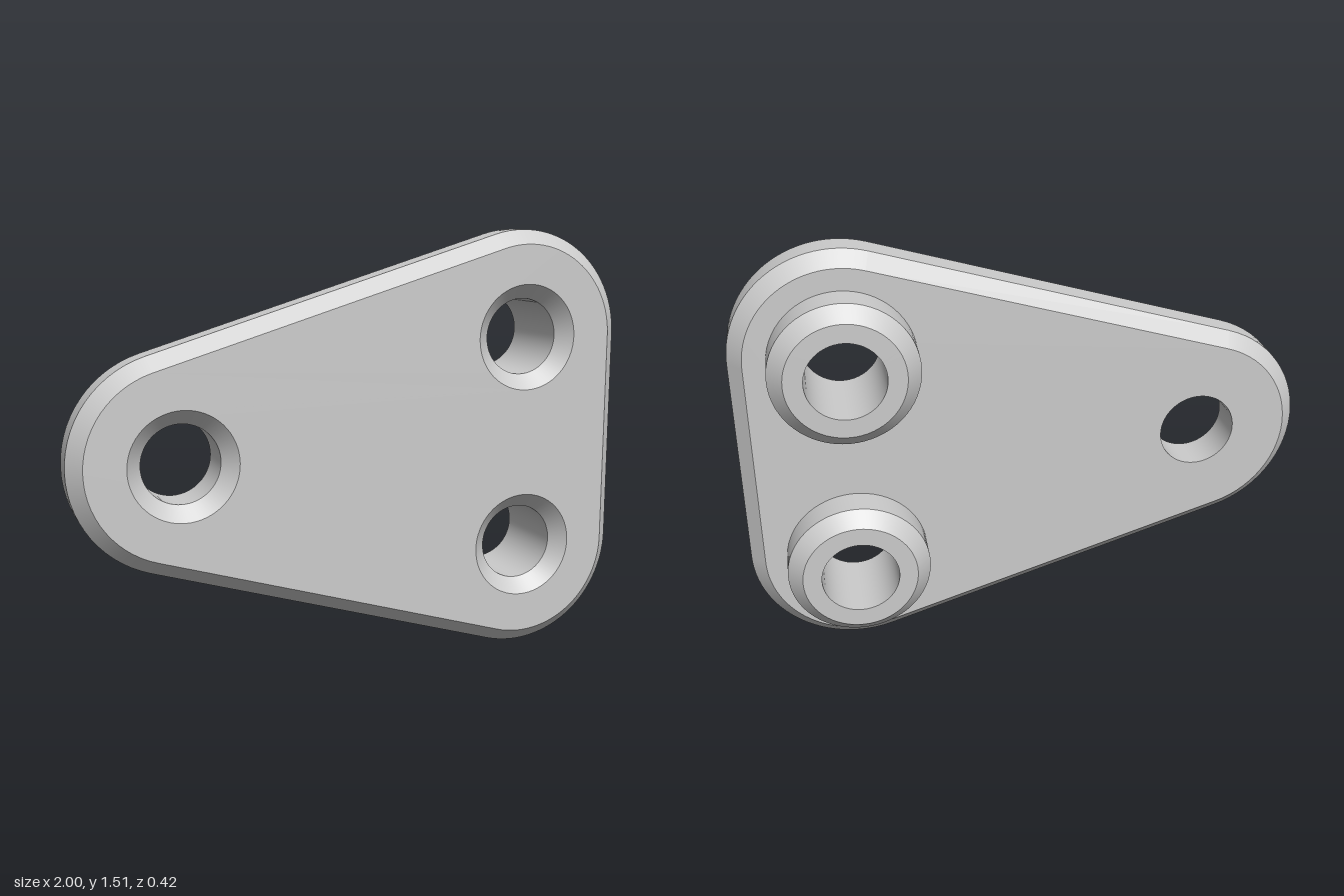
import * as THREE from 'three';
import { toCreasedNormals } from 'three/addons/utils/BufferGeometryUtils.js';

const HALF = 0.0975;    // half the plate thickness
const BEVEL = 0.05;
const RADIUS = 0.376;   // corner radius of the plate
const BORE = 0.135, SINK = 0.187, BOSS = 0.25, BOSS_END = -0.254;
const HX = 0.622, HY = 0.378; // hole positions, also the corner centres

// Rounded triangle as points with outward normals, counter-clockwise
function outline() {
  const tilt = Math.PI / 2 + Math.atan2(HY, 2 * HX);
  const arcs = [
    [HX, -HY, -tilt, 0],
    [HX, HY, 0, tilt],
    [-HX, 0, tilt, 2 * Math.PI - tilt],
  ];
  const steps = 28, ring = [];
  for (const [cx, cy, a0, a1] of arcs) {
    for (let i = 0; i <= steps; i++) {
      const a = a0 + ((a1 - a0) * i) / steps;
      ring.push({ cx, cy, nx: Math.cos(a), ny: Math.sin(a) });
    }
  }
  return ring;
}

// Wall between two offset copies of the outline, lower z first
function band(ring, r0, z0, r1, z1) {
  const pos = [], nor = [], idx = [], n = ring.length;
  const len = Math.hypot(z1 - z0, r1 - r0);
  const side = (z1 - z0) / len, up = (r0 - r1) / len;
  ring.forEach(({ cx, cy, nx, ny }, i) => {
    pos.push(cx + r0 * nx, cy + r0 * ny, z0, cx + r1 * nx, cy + r1 * ny, z1);
    nor.push(nx * side, ny * side, up, nx * side, ny * side, up);
    const a = 2 * i, b = 2 * ((i + 1) % n);
    idx.push(a, b, b + 1, a, b + 1, a + 1);
  });
  const g = new THREE.BufferGeometry();
  g.setAttribute('position', new THREE.Float32BufferAttribute(pos, 3));
  g.setAttribute('normal', new THREE.Float32BufferAttribute(nor, 3));
  g.setIndex(idx);
  return g;
}

// Flat face of the plate with its three openings
function face(ring, leftRadius, rightRadius) {
  const r = RADIUS - BEVEL;
  const shape = new THREE.Shape(
    ring.map((p) => new THREE.Vector2(p.cx + r * p.nx, p.cy + r * p.ny)));
  for (const [x, y, hr] of [[-HX, 0, leftRadius], [HX, HY, rightRadius], [HX, -HY, rightRadius]]) {
    shape.holes.push(new THREE.Path().absarc(x, y, hr, 0, Math.PI * 2, true));
  }
  return new THREE.ShapeGeometry(shape, 32).translate(0, 0, HALF);
}

// Turned surface about the z axis from [radius, z] pairs
function turned(profile) {
  const g = new THREE.LatheGeometry(profile.map(([r, z]) => new THREE.Vector2(r, z)), 64);
  return toCreasedNormals(g.rotateX(Math.PI / 2), 0.5);
}

export function createModel() {
  const model = new THREE.Group();
  model.name = 'bracketPlate';
  const body = new THREE.Group();
  body.name = 'tiltedBody';
  model.add(body);
  const material = new THREE.MeshStandardMaterial({ color: 0xcccccc });
  const add = (name, geometry, x = 0, y = 0) => {
    const mesh = new THREE.Mesh(geometry, material);
    mesh.name = name;
    mesh.position.set(x, y, 0);
    body.add(mesh);
  };

  // Plate faces and chamfered rim
  const ring = outline();
  const inner = RADIUS - BEVEL, edge = HALF - BEVEL;
  add('frontFace', face(ring, SINK, SINK));
  add('backFace', face(ring, BORE, BOSS).rotateX(Math.PI));
  add('backChamfer', band(ring, inner, -HALF, RADIUS, -edge));
  add('rim', band(ring, RADIUS, -edge, RADIUS, edge));
  add('frontChamfer', band(ring, RADIUS, edge, inner, HALF));

  // Countersunk hole at the narrow end
  const sink = [[SINK, HALF], [BORE, HALF - BEVEL]];
  add('narrowEndHole', turned([...sink, [BORE, -HALF]]), -HX, 0);

  // Countersunk holes running through chamfered bosses on the back
  const bossProfile = [
    ...sink, [BORE, BOSS_END], [BOSS - BEVEL, BOSS_END],
    [BOSS, BOSS_END + BEVEL], [BOSS, -HALF],
  ];
  add('upperBoss', turned(bossProfile), HX, HY);
  add('lowerBoss', turned(bossProfile), HX, -HY);

  // Slight turn about the vertical axis
  body.rotation.y = 0.0395;
  body.position.set(0, HY + RADIUS, 0.07);
  return model;
}
